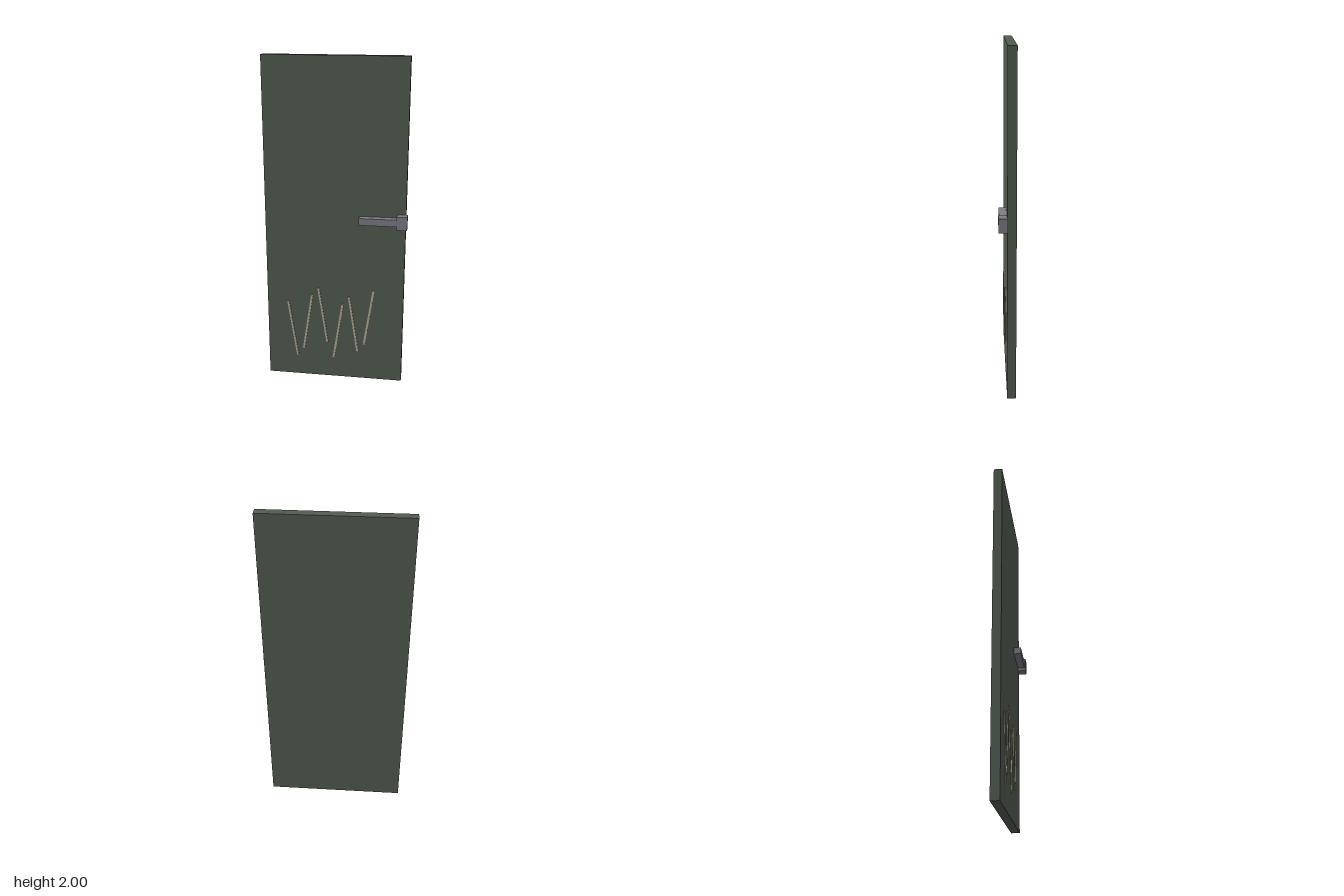
import * as THREE from 'three';

export function createModel() {
  const door = new THREE.Group();
  door.name = 'door';

  const paint = new THREE.MeshStandardMaterial({ color: 0x525c50 });
  paint.name = 'dark green paint';
  const metal = new THREE.MeshStandardMaterial({ color: 0x7d7b84 });
  metal.name = 'grey metal';
  const bareWood = new THREE.MeshStandardMaterial({ color: 0xb2aa94 });
  bareWood.name = 'bare wood';

  // Box given by its minimum and maximum corners
  function addBox(name, material, [x0, y0, z0], [x1, y1, z1]) {
    const mesh = new THREE.Mesh(new THREE.BoxGeometry(x1 - x0, y1 - y0, z1 - z0), material);
    mesh.position.set((x0 + x1) / 2, (y0 + y1) / 2, (z0 + z1) / 2);
    mesh.name = name;
    door.add(mesh);
  }

  addBox('doorPanel', paint, [-0.427, 0, -0.051], [0.415, 2, 0]);

  // Lever handle on the front only
  addBox('handleLever', metal, [0.141, 1.035, 0], [0.363, 1.077, 0.043]);
  addBox('handleMount', metal, [0.363, 1.016, -0.003], [0.425, 1.097, 0.048]);

  // Six scratches, leaning alternately and stepping up in threes
  for (let i = 0; i < 6; i++) {
    const scratch = new THREE.Mesh(new THREE.BoxGeometry(0.012, 0.372, 0.006), bareWood);
    scratch.position.set(-0.27 + i * 0.095, 0.32 + (i % 3) * 0.051, 0.003);
    scratch.rotation.z = i % 2 ? -0.15 : 0.15;
    scratch.name = `scratch${i + 1}`;
    door.add(scratch);
  }

  return door;
}
